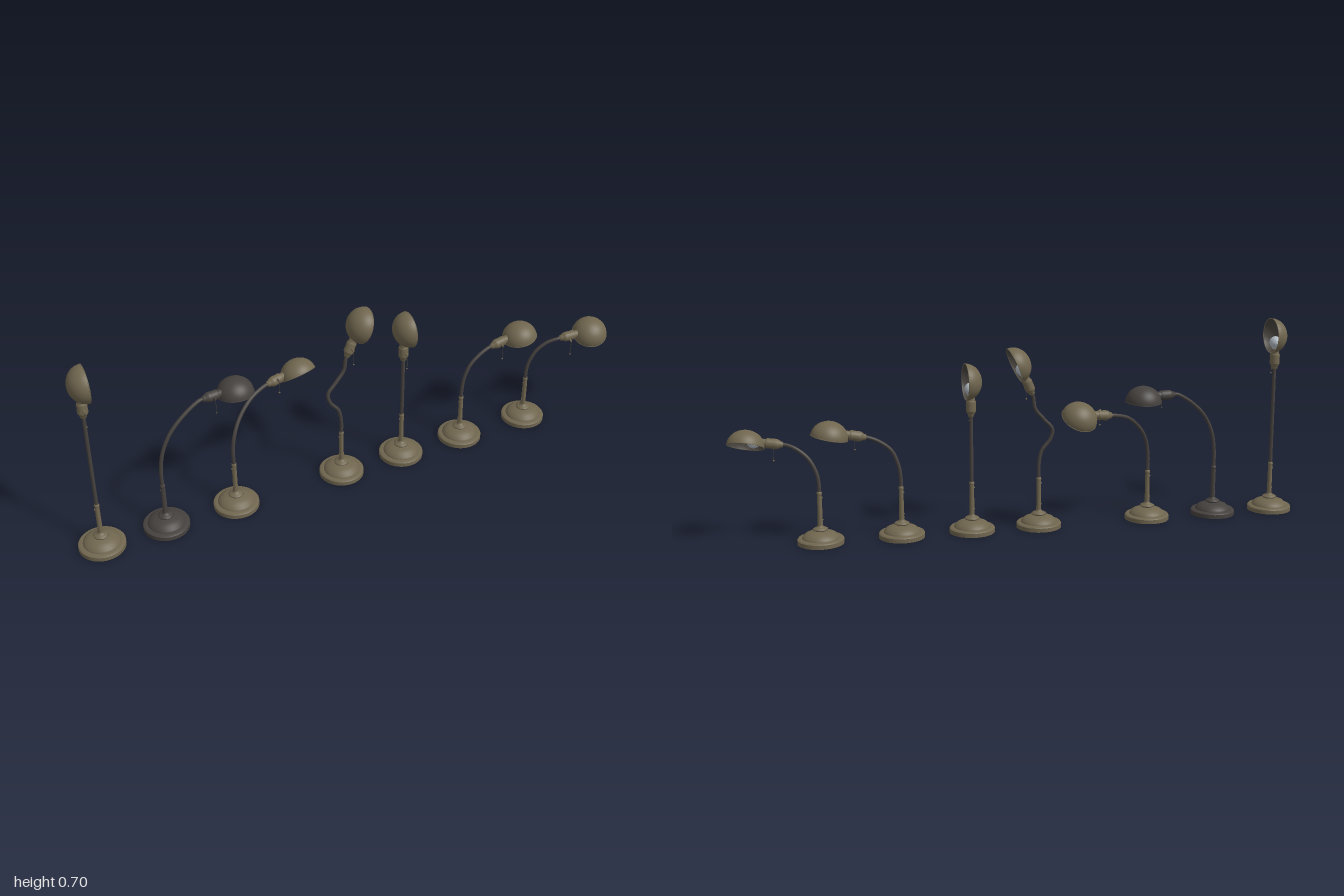
import * as THREE from 'three';

const mat = (name, color, side = THREE.FrontSide) => {
  const m = new THREE.MeshStandardMaterial({ color, side });
  m.name = name;
  return m;
};
const V = (x, y, z) => new THREE.Vector3(x, y, z);
const lathe = (pts, seg = 32) =>
  new THREE.LatheGeometry(pts.map(([r, y]) => new THREE.Vector2(r, y)), seg);

const BASE_Z = 0.022;
const NECK_START = 0.17;   // top of the rigid stem
const HEAD_LENGTH = 0.117; // from the end of the neck to the shade centre
const RIM_X = 0.018;       // shade rim plane, in front of the socket axis

// Lamps from right to left: base x, shade centre, socket axis, opening direction, neck points
const LAMPS = [
  { x: -0.922, centre: [-0.922, 0.638, BASE_Z], axis: [0, 1, 0], open: [1, 0, 0], path: [] },
  { x: -0.70, dark: true, centre: [-0.415, 0.449, -0.016], axis: [0.98, 0, -0.12], open: [0.03, -1, 0.08],
    path: [[-0.70, 0.23, 0.022], [-0.688, 0.30, 0.02], [-0.655, 0.365, 0.016], [-0.60, 0.417, 0.008]] },
  { x: -0.449, centre: [-0.169, 0.41, -0.08], axis: [0.97, 0.1, -0.2], open: [0.2, -0.82, 0.53],
    path: [[-0.449, 0.23, 0.022], [-0.438, 0.285, 0.015], [-0.408, 0.335, -0.005], [-0.355, 0.38, -0.03]] },
  { x: -0.05, centre: [0.023, 0.581, 0.005], axis: [0.39, 0.92, -0.05], open: [0.92, -0.39, 0],
    path: [[-0.05, 0.22, 0.022], [-0.06, 0.27, 0.022], [-0.09, 0.31, 0.02], [-0.097, 0.345, 0.018],
      [-0.065, 0.383, 0.015], [-0.035, 0.42, 0.012]] },
  { x: 0.187, centre: [0.187, 0.522, BASE_Z], axis: [0, 1, 0], open: [1, 0, 0], path: [] },
  { x: 0.43, centre: [0.661, 0.377, 0.015], axis: [0.97, 0.2, -0.02], open: [0.2, -0.97, 0],
    path: [[0.43, 0.20, 0.022], [0.437, 0.25, 0.022], [0.46, 0.302, 0.022], [0.50, 0.335, 0.02]] },
  { x: 0.703, centre: [0.929, 0.349, 0.077], axis: [0.98, 0.12, 0.17], open: [0.12, -0.91, -0.38],
    path: [[0.703, 0.20, 0.022], [0.709, 0.238, 0.024], [0.733, 0.287, 0.03], [0.77, 0.32, 0.042]] },
];

export function createModel() {
  const bronze = mat('bronze', 0x70664f);
  const darkMetal = mat('dark metal', 0x45413e);
  const lining = mat('shade lining', 0x4a4640, THREE.BackSide);
  const glass = mat('bulb glass', 0xb2bbc4);

  // Stepped round foot with a collar and rigid lower stem
  const footGeo = lathe([[0, 0], [0.078, 0], [0.078, 0], [0.078, 0.014], [0.078, 0.014], [0.074, 0.019],
    [0.062, 0.019], [0.062, 0.019], [0.06, 0.025], [0.05, 0.034], [0.036, 0.04], [0.02, 0.043], [0.02, 0.043],
    [0.025, 0.046], [0.025, 0.05], [0.018, 0.054], [0.011, 0.056], [0.009, 0.062]], 48);
  const stemGeo = lathe([[0.009, 0.056], [0.0082, 0.09], [0.0078, NECK_START - 0.004],
    [0.0078, NECK_START - 0.004], [0.009, NECK_START], [0.008, NECK_START + 0.006], [0.005, NECK_START + 0.008]], 20);

  // Lamp holder, bulb and half-dome shade, built along +y and opening to +x
  const socketGeo = lathe([[0.006, -0.121], [0.0105, -0.117], [0.0105, -0.112], [0.0135, -0.108], [0.017, -0.1],
    [0.017, -0.1], [0.0175, -0.09], [0.0165, -0.08], [0.0175, -0.07], [0.016, -0.065], [0.016, -0.065],
    [0.0135, -0.063], [0.0135, -0.047], [0.0135, -0.047], [0, -0.047]], 24);
  const bulbGeo = lathe([[0.010, -0.048], [0.012, -0.044], [0.017, -0.037], [0.0205, -0.03], [0.0215, -0.024],
    [0.0195, -0.014], [0.0135, -0.0065], [0.006, -0.003], [0, -0.0025]], 24);
  const domeGeo = (r, depth) => {
    const g = new THREE.SphereGeometry(r, 36, 14, 0, Math.PI * 2, 0, Math.PI / 2);
    g.scale(1, depth / r, 1);
    g.rotateZ(Math.PI / 2); // apex to -x
    g.translate(RIM_X, 0, 0);
    return g;
  };
  const shadeGeo = domeGeo(0.062, 0.055);
  const liningGeo = domeGeo(0.0605, 0.0535);
  const rimGeo = new THREE.TorusGeometry(0.0617, 0.0014, 6, 40);
  rimGeo.rotateY(Math.PI / 2);
  rimGeo.translate(RIM_X, 0, 0);
  const switchGeo = new THREE.CylinderGeometry(0.003, 0.0045, 0.014, 10);
  switchGeo.rotateX(Math.PI / 2);
  switchGeo.translate(0, -0.085, 0.021);
  const chainGeo = new THREE.CylinderGeometry(0.0011, 0.0011, 0.052, 6);
  const pullGeo = new THREE.SphereGeometry(0.003, 10, 8);
  const screwGeo = new THREE.SphereGeometry(0.003, 8, 6);

  const model = new THREE.Group();
  model.name = 'deskLamps';

  LAMPS.forEach((lamp, i) => {
    const metal = lamp.dark ? darkMetal : bronze;
    const group = new THREE.Group();
    group.name = `lamp${i + 1}`;
    model.add(group);
    const add = (parent, name, geo, material, pos) => {
      const mesh = new THREE.Mesh(geo, material);
      mesh.name = name;
      if (pos) mesh.position.copy(pos);
      parent.add(mesh);
      return mesh;
    };

    const foot = V(lamp.x, 0, BASE_Z);
    add(group, 'foot', footGeo, metal, foot);
    add(group, 'stem', stemGeo, metal, foot);
    for (const y of [0.08, 0.155]) add(group, 'stemScrew', screwGeo, metal, V(lamp.x - 0.008, y, BASE_Z));

    // Head frame: y along the socket, x towards the opening
    const a = V(...lamp.axis).normalize();
    const n = V(...lamp.open);
    n.addScaledVector(a, -n.dot(a)).normalize();
    const head = new THREE.Group();
    head.name = 'head';
    head.quaternion.setFromRotationMatrix(new THREE.Matrix4().makeBasis(n, a, n.clone().cross(a)));
    head.position.set(...lamp.centre);
    group.add(head);
    add(head, 'socket', socketGeo, metal);
    add(head, 'bulb', bulbGeo, glass);
    add(head, 'shade', shadeGeo, metal);
    add(head, 'shadeLining', liningGeo, lining);
    add(head, 'shadeRim', rimGeo, metal);
    add(head, 'switch', switchGeo, metal);

    // Pull chain hangs straight down from the switch
    const hook = V(0, -0.085, 0.027).applyQuaternion(head.quaternion).add(head.position);
    add(group, 'pullChain', chainGeo, darkMetal, hook.clone().add(V(0, -0.026, 0)));
    add(group, 'chainPull', pullGeo, metal, hook.clone().add(V(0, -0.053, 0)));

    // Flexible neck from the stem into the socket
    const end = head.position.clone().addScaledVector(a, -HEAD_LENGTH);
    const curve = new THREE.CatmullRomCurve3([
      V(lamp.x, NECK_START, BASE_Z), ...lamp.path.map(p => V(...p)),
      end.clone().addScaledVector(a, -0.012), end]);
    add(group, 'neck', new THREE.TubeGeometry(curve, lamp.path.length ? 60 : 8, 0.0064, 12), darkMetal);
  });
  return model;
}
